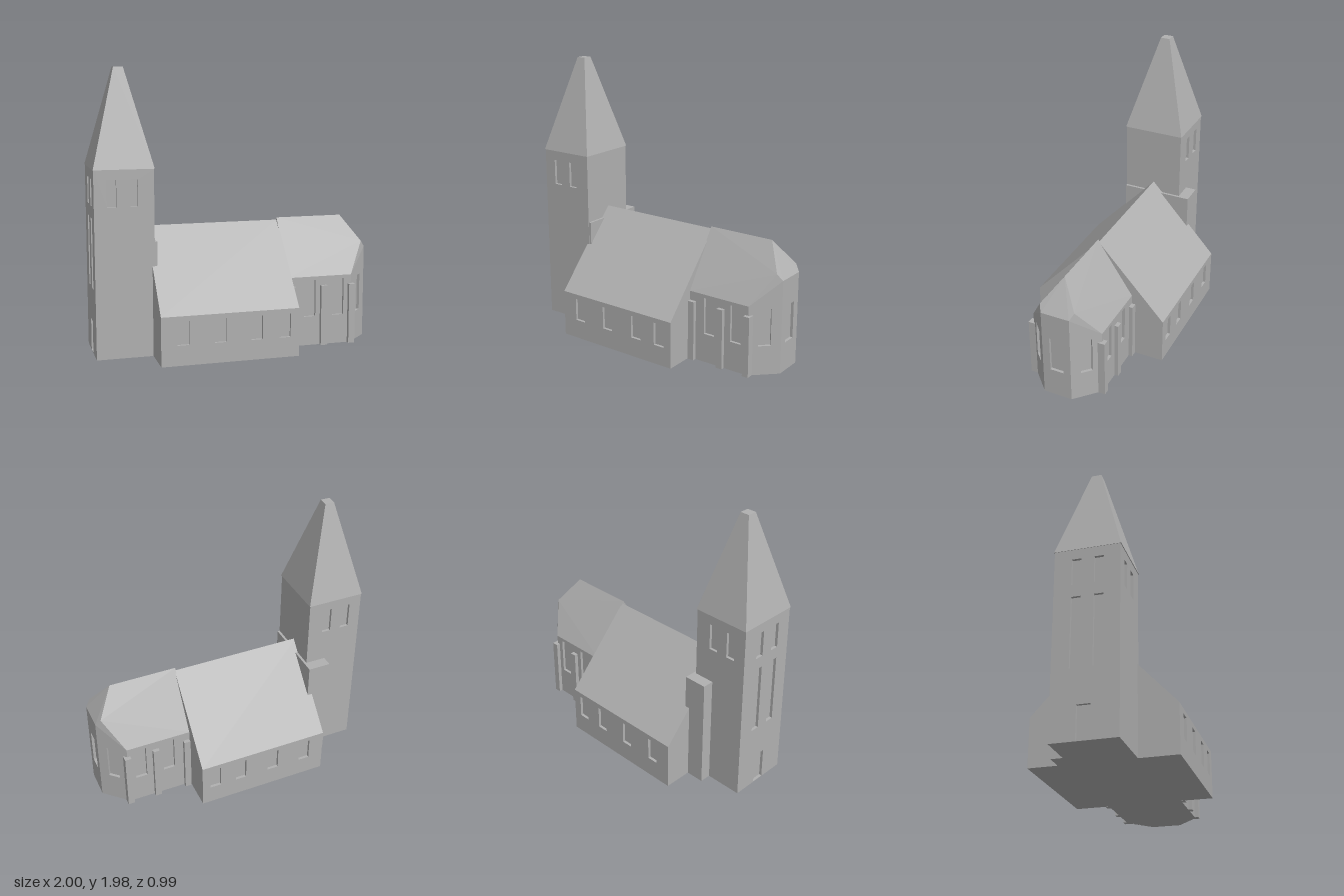
import * as THREE from 'three';
import { ConvexGeometry } from 'three/addons/geometries/ConvexGeometry.js';

const stone = new THREE.MeshStandardMaterial({ color: 0xb0b0b0 });
stone.name = 'stone grey';
const RECESS = 0.02;

function add(parent, name, geometry) {
  const mesh = new THREE.Mesh(geometry, stone);
  mesh.name = name;
  parent.add(mesh);
  return mesh;
}

const hull = (points) => new ConvexGeometry(points.map((p) => new THREE.Vector3(...p)));

function block(parent, name, x0, x1, y0, y1, z0, z1) {
  add(parent, name, new THREE.BoxGeometry(x1 - x0, y1 - y0, z1 - z0))
    .position.set((x0 + x1) / 2, (y0 + y1) / 2, (z0 + z1) / 2);
}

// Walls over a footprint of [x, z] corners, running front, right, back, left.
// openings[i] lists [centre along wall, width, bottom, top] for wall i.
function walls(parent, name, footprint, height, openings) {
  footprint.forEach(([ax, az], i) => {
    const [bx, bz] = footprint[(i + 1) % footprint.length];
    const length = Math.hypot(bx - ax, bz - az);
    const shape = new THREE.Shape();
    shape.moveTo(0, 0).lineTo(length, 0).lineTo(length, height).lineTo(0, height);
    for (const [c, w, y0, y1] of openings[i] || []) {
      const hole = new THREE.Path();
      hole.moveTo(c - w / 2, y0).lineTo(c - w / 2, y1).lineTo(c + w / 2, y1).lineTo(c + w / 2, y0);
      shape.holes.push(hole);
    }
    const along = new THREE.Vector3((bx - ax) / length, 0, (bz - az) / length);
    const up = new THREE.Vector3(0, 1, 0);
    const out = new THREE.Vector3().crossVectors(along, up);
    const geometry = new THREE.ExtrudeGeometry(shape, { depth: RECESS, bevelEnabled: false });
    geometry.translate(0, 0, -RECESS);
    geometry.applyMatrix4(new THREE.Matrix4().makeBasis(along, up, out).setPosition(ax, 0, az));
    add(parent, name + 'Wall', geometry);
  });

  // Inner core closes the backs of the openings
  const xs = footprint.map((p) => p[0]);
  const zs = footprint.map((p) => p[1]);
  const inset = (v, list) => {
    const lo = Math.min(...list), hi = Math.max(...list);
    const mid = (lo + hi) / 2, half = (hi - lo) / 2;
    return mid + (v - mid) * (half - RECESS) / half;
  };
  add(parent, name + 'Core', hull(footprint.flatMap(([x, z]) =>
    [0, height].map((y) => [inset(x, xs), y, inset(z, zs)]))));
}

const rect = (x0, x1, z0, z1) => [[x0, z1], [x1, z1], [x1, z0], [x0, z0]];
const mirrored = (list, length) => list.map(([c, ...rest]) => [length - c, ...rest]);

function part(parent, name) {
  const group = new THREE.Group();
  group.name = name;
  parent.add(group);
  return group;
}

export function createModel() {
  const church = new THREE.Group();
  church.name = 'church';

  // Tower with belfry openings, tall west windows and a door
  const tower = part(church, 'tower');
  const belfry = [[0.12, 0.065, 1.045, 1.23], [0.265, 0.065, 1.045, 1.23]];
  const west = [0.15, 0.3].flatMap((c) => [[c, 0.065, 1.045, 1.23], [c, 0.065, 0.47, 0.96]]);
  west.push([0.215, 0.09, 0.004, 0.23]);
  walls(tower, 'tower', rect(-0.997, -0.588, -0.212, 0.228), 1.3,
    [belfry, [], mirrored(belfry, 0.409), west]);

  // Spire, cut off flat at the top
  const ring = (y, x0, x1, z0, z1) => rect(x0, x1, z0, z1).map(([x, z]) => [x, y, z]);
  add(tower, 'spire', hull([
    ...ring(1.3, -1, -0.583, -0.217, 0.233), ...ring(1.98, -0.823, -0.757, -0.03, 0.037)]));

  // Stair block between tower and nave
  block(church, 'stairBlock', -0.735, -0.57, 0, 0.8, -0.292, 0.225);

  // Nave with gabled roof
  const nave = part(church, 'nave');
  const naveWindows = [0.152, 0.408, 0.665, 0.865].map((c) => [c, 0.082, 0.14, 0.305]);
  walls(nave, 'nave', rect(-0.605, 0.362, -0.495, 0.495), 0.34,
    [naveWindows, [], mirrored(naveWindows, 0.967), []]);
  add(nave, 'naveRoof', hull([
    ...ring(0.34, -0.605, 0.362, -0.495, 0.495), [-0.605, 0.878, 0], [0.362, 0.878, 0]]));

  // Choir with a three-sided apse
  const choir = part(church, 'choir');
  const cz = 0.007;
  const half = 0.262;
  const plan = [[0.355, half], [0.835, half], [1, 0.105], [1, -0.105], [0.835, -half], [0.355, -half]]
    .map(([x, z]) => [x, z + cz]);
  const size = [0.085, 0.21, 0.475];
  const sideWindows = [[0.168, ...size], [0.382, ...size]];
  const facet = [[0.114, ...size]];
  walls(choir, 'choir', plan, 0.5,
    [sideWindows, facet, [[0.105, 0.1, 0.21, 0.475]], facet, mirrored(sideWindows, 0.48), []]);

  // Hipped roof; its slopes run up over the apse walls
  const roof = plan.map(([x, z]) => [x, 0.5, z]);
  roof.push([0.355, 0.895, cz], [0.845, 0.895, cz]);
  for (const s of [-1, 1]) {
    roof.push([0.965, 0.715, cz + s * 0.128], [1, 0.67, cz + s * 0.105]);
  }
  add(choir, 'choirRoof', hull(roof));

  // Buttresses on both sides
  for (const x of [0.365, 0.6, 0.812]) {
    block(choir, 'buttressFront', x, x + 0.047, 0, 0.435, 0.235, 0.297);
    block(choir, 'buttressBack', x, x + 0.047, 0, 0.435, -0.283, -0.22);
  }

  return church;
}
